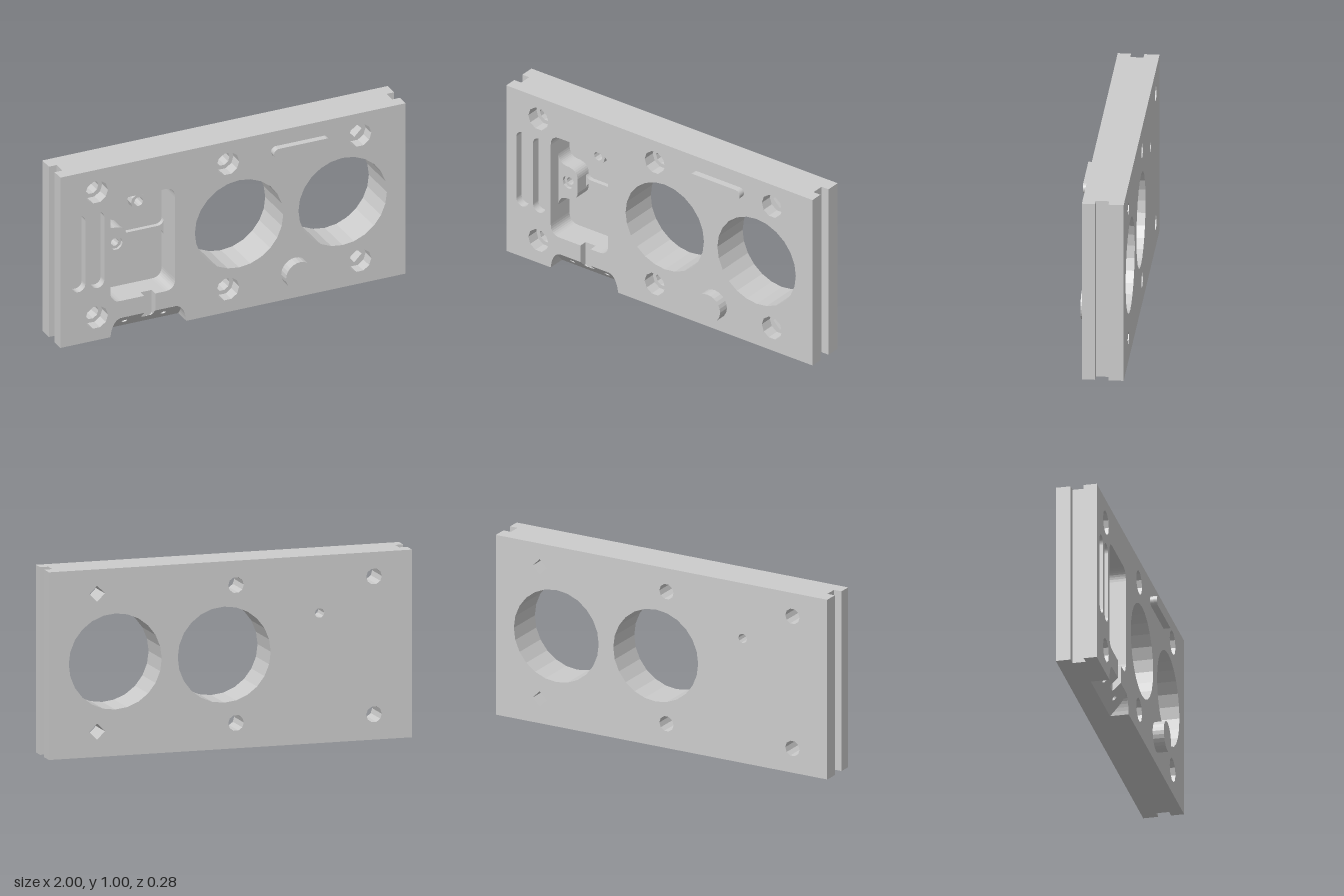
import * as THREE from 'three';

const material = new THREE.MeshStandardMaterial({ color: 0xcccccc, flatShading: true });

// Regular polygon path, used for round and square holes
function polygon(x, y, r, n, Type = THREE.Path) {
  const points = [];
  for (let i = 0; i < n; i++) {
    const a = (i / n) * Math.PI * 2;
    points.push(new THREE.Vector2(x + r * Math.cos(a), y + r * Math.sin(a)));
  }
  const path = new Type();
  path.setFromPoints(points);
  path.closePath();
  return path;
}

// Slot with fully rounded ends, upright or lying
function slot(x0, x1, y0, y1, Type = THREE.Path) {
  const p = new Type();
  const r = Math.min(x1 - x0, y1 - y0) / 2;
  p.moveTo(x0 + r, y0);
  p.lineTo(x1 - r, y0);
  p.absarc(x1 - r, y0 + r, r, -Math.PI / 2, 0);
  p.absarc(x1 - r, y1 - r, r, 0, Math.PI / 2);
  p.absarc(x0 + r, y1 - r, r, Math.PI / 2, Math.PI);
  p.absarc(x0 + r, y0 + r, r, Math.PI, Math.PI * 1.5);
  return p;
}

// Clockwise run round the pocket, from the left to the right side of the channel
function tracePocket(p) {
  const [l, r, b, t, c] = [-0.71, -0.335, 0.2, 0.8, 0.06];
  p.lineTo(-0.515, b);
  p.lineTo(l + c, b);
  p.quadraticCurveTo(l, b, l, b + c);
  p.lineTo(l, t - c);
  p.quadraticCurveTo(l, t, l + c, t);
  p.lineTo(r - c, t);
  p.quadraticCurveTo(r, t, r, t - c);
  p.lineTo(r, b + c);
  p.quadraticCurveTo(r, b, r - c, b);
  p.lineTo(-0.45, b);
}

// Outline of one plate layer, optionally with bottom notch and open channel
function outline(halfWidth, notch, channel) {
  const s = new THREE.Shape();
  s.moveTo(-halfWidth, 0);
  if (notch) {
    s.lineTo(-0.71, 0);
    s.quadraticCurveTo(-0.7, 0.09, -0.65, 0.1);
    if (channel) {
      s.lineTo(-0.515, 0.1);
      tracePocket(s);
      s.lineTo(-0.45, 0.1);
    }
    s.lineTo(-0.33, 0.1);
    s.quadraticCurveTo(-0.28, 0.09, -0.27, 0);
  }
  s.lineTo(halfWidth, 0);
  s.lineTo(halfWidth, 1);
  s.lineTo(-halfWidth, 1);
  s.closePath();
  return s;
}

export function createModel() {
  const model = new THREE.Group();
  model.name = 'mountingPlate';

  function extrude(name, shape, z0, z1) {
    const g = new THREE.ExtrudeGeometry(shape, { depth: z1 - z0, bevelEnabled: false, curveSegments: 8 });
    g.translate(0, 0, z0);
    const mesh = new THREE.Mesh(g, material);
    mesh.name = name;
    model.add(mesh);
    return mesh;
  }

  // Plate, stacked in layers from back to front
  const layers = [
    { z0: -0.14, z1: -0.085, w: 1 },
    { z0: -0.085, z1: -0.06, w: 1, pocket: true },
    { z0: -0.06, z1: -0.02, w: 0.955, pocket: true },
    { z0: -0.02, z1: 0.01, w: 0.955, pocket: true, notch: true },
    { z0: 0.01, z1: 0.035, w: 1, pocket: true, notch: true, counterbore: true },
    { z0: 0.035, z1: 0.08, w: 1, channel: true, notch: true, counterbore: true, slots: true },
  ];
  for (const L of layers) {
    const s = outline(L.w, L.notch, L.channel);
    for (const x of [0.035, 0.635]) s.holes.push(polygon(x, 0.503, 0.256, 24));
    for (const x of [-0.79, -0.03, 0.735]) {
      for (const y of [0.135, 0.87]) {
        s.holes.push(L.counterbore ? polygon(x, y, 0.066, 10) : polygon(x, y, 0.043, x > 0.5 ? 4 : 10));
      }
    }
    if (L.pocket) {
      const p = new THREE.Path();
      p.moveTo(-0.45, 0.2);
      tracePocket(p);
      s.holes.push(p);
    }
    if (!L.pocket && !L.channel) s.holes.push(polygon(-0.49, 0.693, 0.026, 10));
    if (L.slots) {
      s.holes.push(slot(-0.935, -0.855, 0.305, 0.752));
      s.holes.push(slot(-0.825, -0.745, 0.305, 0.752));
    }
    extrude('plateLayer', s, L.z0, L.z1);
  }

  // Island on the left pocket wall, with a stepped hole
  for (const [z0, z1, r] of [[-0.085, -0.005, 0.022], [-0.005, 0.012, 0.038]]) {
    const s = new THREE.Shape();
    s.moveTo(-0.73, 0.35);
    s.lineTo(-0.71, 0.35);
    s.quadraticCurveTo(-0.705, 0.4, -0.66, 0.405);
    s.quadraticCurveTo(-0.59, 0.405, -0.585, 0.46);
    s.lineTo(-0.585, 0.545);
    s.quadraticCurveTo(-0.59, 0.6, -0.66, 0.6);
    s.quadraticCurveTo(-0.705, 0.605, -0.71, 0.655);
    s.lineTo(-0.73, 0.655);
    s.closePath();
    s.holes.push(polygon(-0.645, 0.505, r, 10));
    extrude('pocketIsland', s, z0, z1);
  }

  // Low rib from the island to the right pocket wall, flared at both ends
  const rib = new THREE.Shape();
  rib.moveTo(-0.59, 0.45);
  rib.quadraticCurveTo(-0.58, 0.49, -0.55, 0.492);
  rib.lineTo(-0.37, 0.492);
  rib.quadraticCurveTo(-0.34, 0.49, -0.335, 0.46);
  rib.lineTo(-0.32, 0.46);
  rib.lineTo(-0.32, 0.545);
  rib.lineTo(-0.335, 0.545);
  rib.quadraticCurveTo(-0.34, 0.517, -0.37, 0.515);
  rib.lineTo(-0.55, 0.515);
  rib.quadraticCurveTo(-0.58, 0.517, -0.59, 0.55);
  rib.closePath();
  extrude('pocketRib', rib, -0.085, -0.06);

  // Collar round the through hole in the pocket
  const collar = polygon(-0.49, 0.693, 0.044, 10, THREE.Shape);
  collar.holes.push(polygon(-0.49, 0.693, 0.026, 10));
  extrude('pocketCollar', collar, -0.085, -0.04);

  // Sloped face of the bottom notch, with two screw holes and the channel mouth
  const slope = new THREE.Shape();
  slope.moveTo(-0.71, 0);
  slope.lineTo(-0.27, 0);
  slope.lineTo(-0.27, 0.141);
  slope.lineTo(-0.45, 0.141);
  slope.lineTo(-0.45, 0.09);
  slope.quadraticCurveTo(-0.455, 0.078, -0.4825, 0.076);
  slope.quadraticCurveTo(-0.51, 0.078, -0.515, 0.09);
  slope.lineTo(-0.515, 0.141);
  slope.lineTo(-0.71, 0.141);
  slope.closePath();
  for (const x of [-0.605, -0.38]) slope.holes.push(polygon(x, 0.071, 0.016, 10));
  const slopeMesh = extrude('notchSlope', slope, -0.04, 0);
  slopeMesh.rotation.x = Math.PI / 4;
  slopeMesh.position.z = -0.02;

  // Floor of the channel between pocket and notch
  const floor = new THREE.Mesh(new THREE.BoxGeometry(0.065, 0.055, 0.055), material);
  floor.name = 'channelFloor';
  floor.position.set(-0.4825, 0.083, 0.0075);
  model.add(floor);

  // Raised bar and round button on the front
  extrude('raisedBar', slot(0.22, 0.552, 0.857, 0.913, THREE.Shape), 0.08, 0.117);
  extrude('roundButton', polygon(0.36, 0.153, 0.081, 24, THREE.Shape), 0.08, 0.14);

  return model;
}
